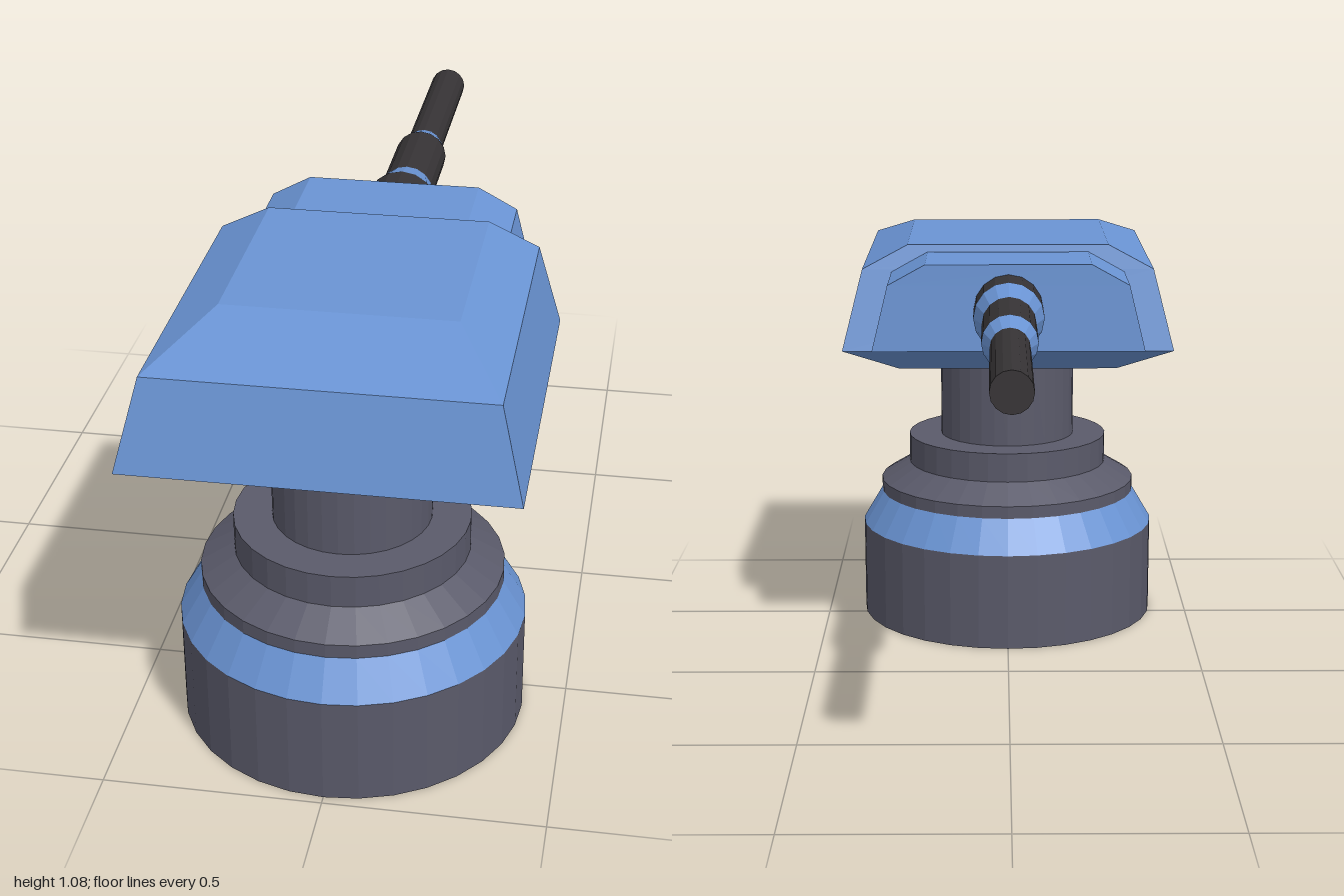
import * as THREE from 'three';

const material = (name, color) => {
  const m = new THREE.MeshStandardMaterial({ color, flatShading: true });
  m.name = name;
  return m;
};

// Lofts rectangular levels [y, halfWidth, zFront, zBack] from bottom to top
function loft(levels) {
  const rings = levels.map(([y, w, f, b]) => [[-w, y, f], [w, y, f], [w, y, b], [-w, y, b]]);
  const pos = [];
  const quad = (a, b, c, d) => pos.push(...a, ...b, ...c, ...a, ...c, ...d);
  for (let k = 0; k < rings.length - 1; k++) {
    for (let i = 0; i < 4; i++) {
      const j = (i + 1) % 4;
      quad(rings[k][i], rings[k][j], rings[k + 1][j], rings[k + 1][i]);
    }
  }
  const [a, b, c, d] = rings[0];
  quad(d, c, b, a);
  quad(...rings[rings.length - 1]);
  const g = new THREE.BufferGeometry();
  g.setAttribute('position', new THREE.Float32BufferAttribute(pos, 3));
  g.computeVertexNormals();
  return g;
}

export function createModel() {
  const blue = material('blue', 0x6a94d4);
  const grey = material('slateGrey', 0x5a5a6a);
  const black = material('cableBlack', 0x363335);
  const model = new THREE.Group();
  model.name = 'model';

  const add = (parent, name, geometry, mat) => {
    const mesh = new THREE.Mesh(geometry, mat);
    mesh.name = name;
    parent.add(mesh);
  };
  const turned = (profile, sides) =>
    new THREE.LatheGeometry(profile.map(([r, y]) => new THREE.Vector2(r, y)), sides);

  // Round stepped base and neck
  const base = new THREE.Group();
  base.name = 'base';
  base.position.z = 0.578;
  add(base, 'foot', turned([[0, 0], [0.402, 0], [0.402, 0.257]], 32), grey);
  add(base, 'collarBand', turned([[0.402, 0.257], [0.35, 0.345]], 32), blue);
  add(base, 'steppedNeck', turned([
    [0.35, 0.345], [0.35, 0.378], [0.272, 0.425], [0.272, 0.503],
    [0.183, 0.503], [0.183, 0.76],
  ], 32), grey);
  model.add(base);

  // Faceted head and the smaller block behind it
  add(model, 'head', loft([
    [0.74, 0.285, 0.86, 0.285],
    [0.811, 0.425, 1.0, 0.155],
    [1.016, 0.373, 0.95, 0.197],
    [1.077, 0.257, 0.72, 0.21],
  ]), blue);
  add(model, 'rearBlock', loft([
    [0.846, 0.338, 0.2, -0.032],
    [1.009, 0.298, 0.2, -0.024],
    [1.06, 0.205, 0.2, -0.022],
  ]), blue);

  // Cable with tapering strain relief, running backwards
  const cable = new THREE.Group();
  cable.name = 'cable';
  cable.position.y = 0.95;
  cable.rotation.x = -Math.PI / 2;
  [
    ['cableSocket', [[0.086, 0], [0.086, 0.148]], black],
    ['firstTaper', [[0.086, 0.148], [0.065, 0.23]], blue],
    ['cableSleeve', [[0.065, 0.23], [0.065, 0.47]], black],
    ['secondTaper', [[0.065, 0.47], [0.046, 0.53]], blue],
    ['cord', [[0.046, 0.53], [0.046, 1], [0, 1]], black],
  ].forEach(([name, profile, mat]) => add(cable, name, turned(profile, 16), mat));
  model.add(cable);

  return model;
}
